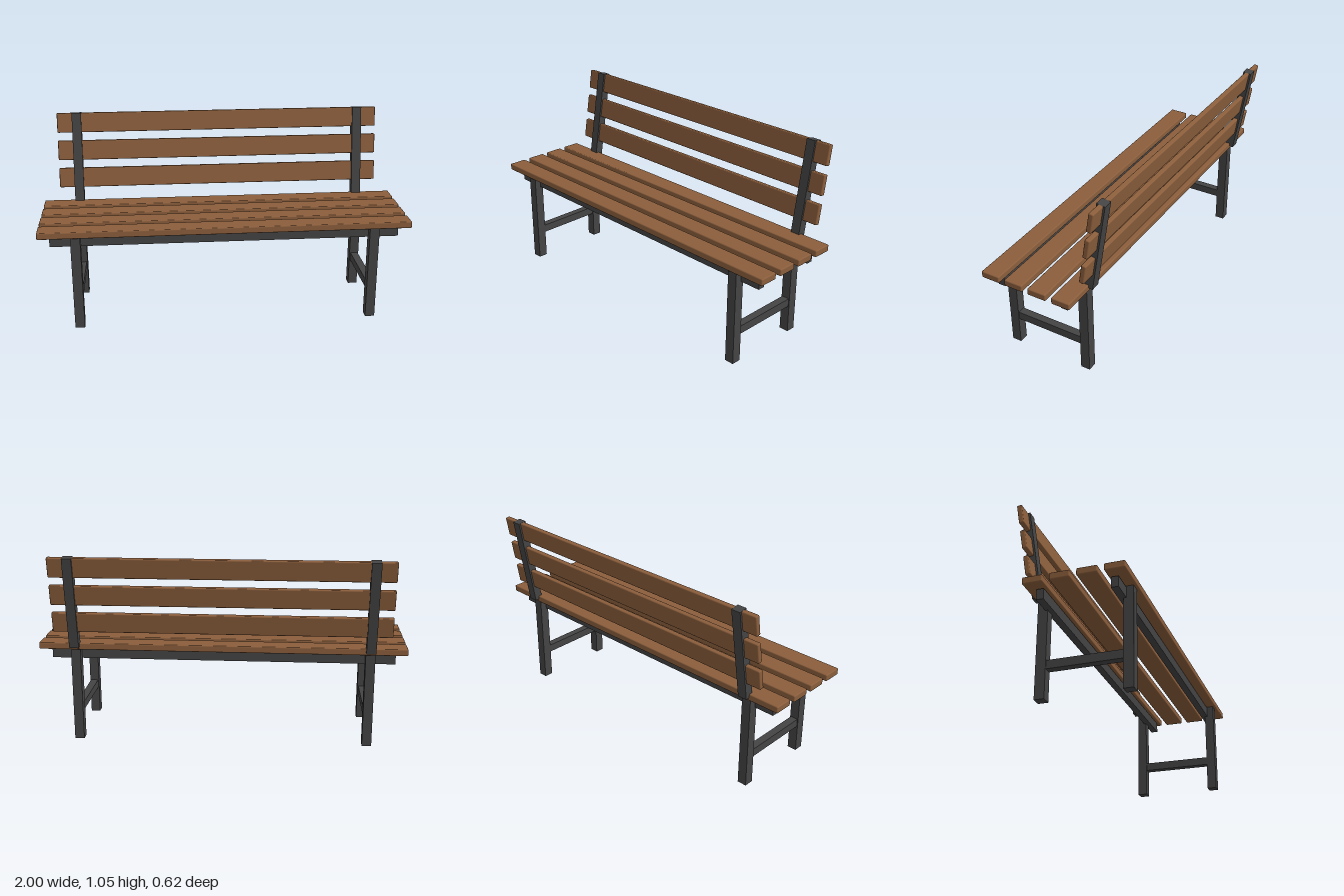
import * as THREE from 'three';
import { RoundedBoxGeometry } from 'three/addons/geometries/RoundedBoxGeometry.js';

export function createModel() {
  const bench = new THREE.Group();
  bench.name = 'bench';
  const wood = new THREE.MeshStandardMaterial({ color: 0x8b5e3c });
  wood.name = 'brown wood';
  const metal = new THREE.MeshStandardMaterial({ color: 0x444444 });
  metal.name = 'dark metal';

  const add = (name, geometry, material, x, y, z, tilt = 0) => {
    const mesh = new THREE.Mesh(geometry, material);
    mesh.name = name;
    mesh.position.set(x, y, z);
    mesh.rotation.x = tilt;
    bench.add(mesh);
  };

  const legX = 0.8, frontZ = 0.271, backZ = -0.166;
  const tilt = -0.163; // backrest leans backwards

  // Seat: four planks with eased edges
  const seatSlat = new RoundedBoxGeometry(1.996, 0.037, 0.104, 2, 0.006);
  for (let i = 0; i < 4; i++) add('seatSlat', seatSlat, wood, 0, 0.5435, 0.26 - i * 0.1375);

  // Backrest: three planks set into the leaning uprights
  const backSlat = new RoundedBoxGeometry(1.82, 0.11, 0.027, 2, 0.006);
  for (let i = -1; i <= 1; i++) {
    add('backSlat', backSlat, wood, 0, 0.842 + i * 0.154, -0.252 - i * 0.0253, tilt);
  }

  // Long rails under the seat
  const rail = new THREE.BoxGeometry(1.876, 0.056, 0.038);
  add('frontRail', rail, metal, 0, 0.491, 0.241);
  add('backRail', rail, metal, 0, 0.491, -0.134);

  // Legs, stretchers and uprights at each end
  const leg = new THREE.BoxGeometry(0.052, 0.525, 0.052);
  const stretcher = new THREE.BoxGeometry(0.042, 0.045, frontZ - backZ - 0.052);
  const upright = new THREE.BoxGeometry(0.052, 0.514, 0.047);
  for (const side of [-1, 1]) {
    const x = side * legX;
    add('frontLeg', leg, metal, x, 0.2625, frontZ);
    add('backLeg', leg, metal, x, 0.2625, backZ);
    add('legStretcher', stretcher, metal, x, 0.1755, (frontZ + backZ) / 2);
    add('backUpright', upright, metal, x, 0.797, -0.2445, tilt);
  }
  return bench;
}
